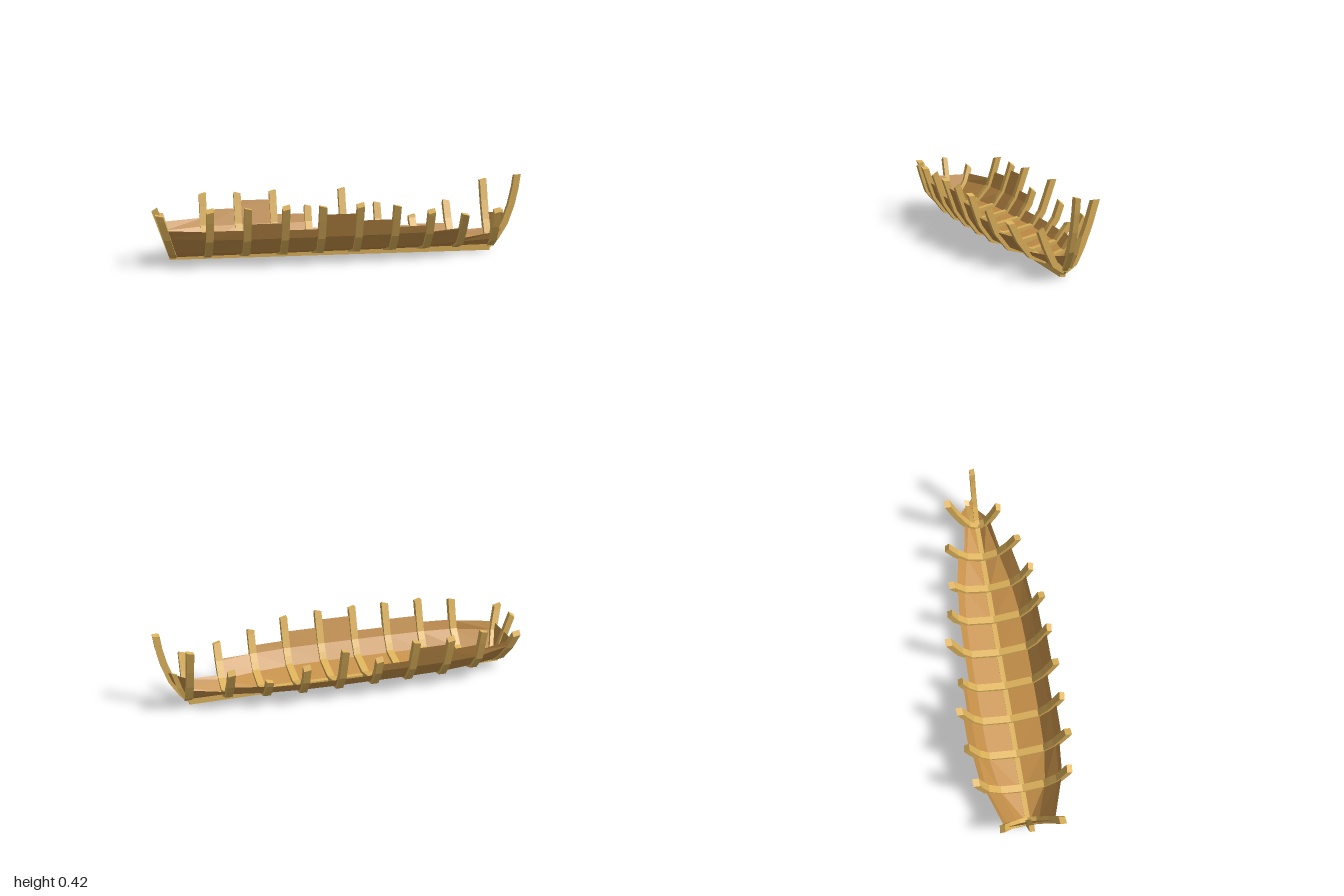
import * as THREE from 'three';

const BEAM = new THREE.MeshStandardMaterial({ color: 0xe0b45c, flatShading: true });
const PLANK = new THREE.MeshStandardMaterial({ color: 0xc8924a, flatShading: true, side: THREE.DoubleSide });
const V = (x, y, z) => new THREE.Vector3(x, y, z);
const X = V(1, 0, 0), Z = V(0, 0, 1);

// Hull sections: half-breadth of each station at five shared heights
const LEVELS = [0.03, 0.07, 0.15, 0.25, 0.37];
const STATIONS = [
  { x: -0.89, rake: -0.3, z: [0.01, 0.055, 0.112, 0.15, 0.19], left: 0.28, right: 0.235 },
  { x: -0.715, z: [0.01, 0.12, 0.19, 0.222, 0.255], left: 0.31, right: 0.32 },
  { x: -0.525, z: [0.01, 0.15, 0.207, 0.242, 0.28], left: 0.32, right: 0.31 },
  { x: -0.33, z: [0.01, 0.155, 0.21, 0.245, 0.285], left: 0.32, right: 0.32 },
  { x: -0.14, z: [0.01, 0.155, 0.21, 0.245, 0.285], left: 0.32, right: 0.23 },
  { x: 0.055, z: [0.01, 0.155, 0.21, 0.245, 0.285], left: 0.32, right: 0.32 },
  { x: 0.25, z: [0.01, 0.15, 0.207, 0.242, 0.28], left: 0.31, right: 0.235 },
  { x: 0.44, z: [0.01, 0.13, 0.192, 0.23, 0.265], left: 0.27, right: 0.17 },
  { x: 0.635, z: [0.01, 0.09, 0.15, 0.2, 0.24], left: 0.24, right: 0.24 },
  { x: 0.835, z: [0.01, 0.05, 0.088, 0.125, 0.16], left: 0.24, right: 0.365 },
];
// Surviving plank heights for each bay, stern to bow
const BAYS = {
  left: [0.195, 0.2, 0.235, 0.195, 0.275, 0.235, 0.19, [0.15, 0.16], [0.09, 0.11]],
  right: [0.195, 0.235, 0.275, 0.195, 0.12, 0.12, 0.12, [0.125, 0.13], [0.09, 0.11]],
};
const SIDES = { left: 1, right: -1 };

function lerpTable(xs, vs, t) {
  let i = 0;
  while (i < xs.length - 2 && t > xs[i + 1]) i++;
  return THREE.MathUtils.lerp(vs[i], vs[i + 1], (t - xs[i]) / (xs[i + 1] - xs[i]));
}
const hullPoint = (s, y, sign) =>
  V(s.x + (s.rake || 0) * (y - 0.03), y, sign * lerpTable(LEVELS, s.z, y));

// Collects quads into one flat-shaded mesh
function quadMesh(name, quads, material) {
  const pos = [];
  for (const [a, b, c, d] of quads) for (const p of [a, b, c, a, c, d]) pos.push(p.x, p.y, p.z);
  const g = new THREE.BufferGeometry();
  g.setAttribute('position', new THREE.Float32BufferAttribute(pos, 3));
  g.computeVertexNormals();
  const mesh = new THREE.Mesh(g, material);
  mesh.name = name;
  return mesh;
}

// Square timber swept along a polyline; slant skews the broken end
function beam(name, path, side, width, depth, slant = 0) {
  const rings = path.map((p, i) => {
    const t = path[Math.min(i + 1, path.length - 1)].clone().sub(path[Math.max(i - 1, 0)]).normalize();
    const n = t.clone().cross(side).normalize();
    const skew = i === path.length - 1 ? slant : 0;
    return [[-1, -1], [1, -1], [1, 1], [-1, 1]].map(([u, v]) => p.clone()
      .addScaledVector(side, u * width / 2)
      .addScaledVector(n, v * depth / 2)
      .addScaledVector(t, (u + v) * skew));
  });
  const quads = [[...rings[0]].reverse(), rings[rings.length - 1]];
  for (let i = 0; i < rings.length - 1; i++)
    for (let k = 0; k < 4; k++) {
      const m = (k + 1) % 4;
      quads.push([rings[i][k], rings[i][m], rings[i + 1][m], rings[i + 1][k]]);
    }
  return quadMesh(name, quads, BEAM);
}

// Sheet of strakes between two edge functions of height
function planking(name, edgeA, edgeB, topA, topB) {
  const limit = Math.max(topA, topB);
  const rows = [...LEVELS.filter((y) => y < limit - 0.005), limit];
  const quads = [];
  for (let i = 0; i < rows.length - 1; i++) {
    const [a0, a1] = [rows[i], rows[i + 1]].map((y) => edgeA(Math.min(y, topA)));
    const [b0, b1] = [rows[i], rows[i + 1]].map((y) => edgeB(Math.min(y, topB)));
    quads.push([a0, b0, b1, a1]);
  }
  return quadMesh(name, quads, PLANK);
}

export function createModel() {
  const ship = new THREE.Group();
  ship.name = 'wreckedShipHull';

  // Keel, tapering deeper toward the bow
  const keel = new THREE.BoxGeometry(1.74, 0.036, 0.027);
  const kp = keel.attributes.position;
  for (let i = 0; i < kp.count; i++) {
    const low = kp.getX(i) < 0 ? 0.018 : 0;
    kp.setXY(i, kp.getX(i) - 0.04, kp.getY(i) > 0 ? 0.038 : low);
  }
  keel.computeVertexNormals();
  const keelMesh = new THREE.Mesh(keel, BEAM);
  keelMesh.name = 'keel';
  ship.add(keelMesh);

  // Curved stem and raked sternpost
  const stemPath = [[0.81, 0.018], [0.865, 0.07], [0.915, 0.15], [0.95, 0.25], [0.97, 0.34], [0.98, 0.412]];
  ship.add(beam('stem', stemPath.map(([x, y]) => V(x, y, 0)), Z, 0.027, 0.036, 0.003));
  const sternPath = [[-0.895, 0.025], [-0.93, 0.13], [-0.957, 0.21], [-0.983, 0.285]];
  ship.add(beam('sternpost', sternPath.map(([x, y]) => V(x, y, 0)), Z, 0.027, 0.034, 0.004));

  for (const [sideName, sign] of Object.entries(SIDES)) {
    // Ribs, each broken off at its own height
    STATIONS.forEach((s, i) => {
      const top = s[sideName];
      const ys = [...LEVELS.slice(1), 0.11, 0.2, 0.3].filter((y) => y < top - 0.015).sort((a, b) => a - b);
      const path = [V(s.x, 0.036, 0), ...[...ys, top].map((y) => hullPoint(s, y, sign))];
      const name = (i ? 'rib' : 'sternFrame') + sideName;
      ship.add(beam(name, path, X, 0.038, 0.032, i % 2 ? 0.005 : -0.005));
    });

    // Hull planking, bay by bay
    BAYS[sideName].forEach((h, i) => {
      const [ha, hb] = Array.isArray(h) ? h : [h, h];
      ship.add(planking('planks' + sideName,
        (y) => hullPoint(STATIONS[i], y, sign),
        (y) => hullPoint(STATIONS[i + 1], y, sign), ha, hb));
    });

    // Bow planks closing onto the stem
    const stemEdge = (y) => V(lerpTable(stemPath.map((p) => p[1]), stemPath.map((p) => p[0]), y), y, sign * 0.012);
    const bow = sign > 0 ? [0.11, 0.12] : [0.19, 0.2];
    ship.add(planking('bowPlanks' + sideName,
      (y) => hullPoint(STATIONS[9], y, sign), stemEdge, ...bow));
  }

  // Transom planking across the stern frame
  ship.add(planking('transom',
    (y) => hullPoint(STATIONS[0], y, -1),
    (y) => hullPoint(STATIONS[0], y, 1), 0.19, 0.19));

  // Short cant timber beside the stem
  ship.add(beam('bowTimber', [V(0.85, 0.05, -0.02), V(0.88, 0.12, -0.035), V(0.905, 0.205, -0.045)],
    X, 0.026, 0.024, 0.006));
  return ship;
}
